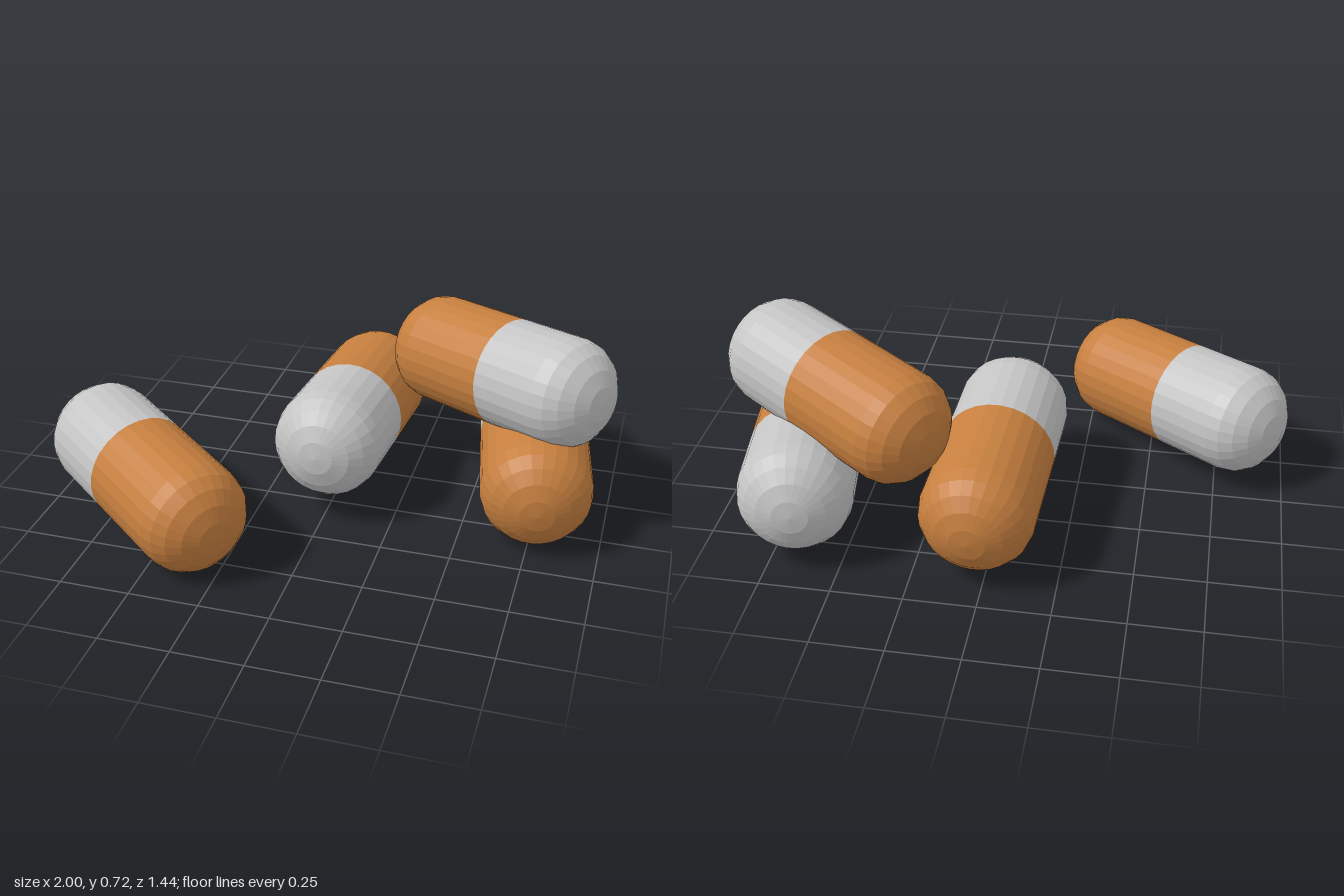
import * as THREE from 'three';

const RADIUS = 0.2;      // capsule radius
const CAP = 0.16;        // depth of the slightly flattened rounded end
const HALF = 0.465;      // half of the total length
const SEAM = 0.045;      // seam offset from the middle, towards the white end
const SEGMENTS = 28;
const RINGS = 5;

// Open shell from the seam (y = 0) to a rounded tip (y = length)
function shellGeometry(length) {
  const profile = [new THREE.Vector2(RADIUS, 0)];
  for (let i = 0; i <= RINGS; i++) {
    const a = (i / RINGS) * Math.PI / 2;
    profile.push(new THREE.Vector2(
      i === RINGS ? 0 : RADIUS * Math.cos(a),
      length - CAP + CAP * Math.sin(a)
    ));
  }
  return new THREE.LatheGeometry(profile, SEGMENTS);
}

export function createModel() {
  const orange = new THREE.MeshStandardMaterial({ color: 0xc67f3f, flatShading: true });
  orange.name = 'orange';
  const white = new THREE.MeshStandardMaterial({ color: 0xc4c4c4, flatShading: true });
  white.name = 'pale grey';

  const whiteGeometry = shellGeometry(HALF - SEAM);
  const orangeGeometry = shellGeometry(HALF + SEAM);

  // Centre of each capsule and the direction its white end points
  const capsules = [
    { name: 'leftLyingCapsule', at: [-0.585, 0.222, 0.345], to: [-0.79, 0.075, -0.613] },
    { name: 'middleCapsule', at: [0.015, 0.26, -0.26], to: [-0.045, 0.07, 1] },
    { name: 'leaningCapsule', at: [0.57, 0.5, -0.27], to: [0.835, 0.078, 0.55] },
    { name: 'supportingCapsule', at: [0.71, 0.222, -0.252], to: [-0.17, 0.07, -0.98] },
  ];

  const model = new THREE.Group();
  model.name = 'capsulePile';
  const up = new THREE.Vector3(0, 1, 0);

  for (const { name, at, to } of capsules) {
    const capsule = new THREE.Group();
    capsule.name = name;

    const whiteHalf = new THREE.Mesh(whiteGeometry, white);
    whiteHalf.name = 'whiteHalf';
    whiteHalf.position.y = SEAM;

    const orangeHalf = new THREE.Mesh(orangeGeometry, orange);
    orangeHalf.name = 'orangeHalf';
    orangeHalf.position.y = SEAM;
    orangeHalf.rotation.x = Math.PI;

    capsule.add(whiteHalf, orangeHalf);
    capsule.position.set(...at);
    capsule.quaternion.setFromUnitVectors(up, new THREE.Vector3(...to).normalize());
    model.add(capsule);
  }
  return model;
}
